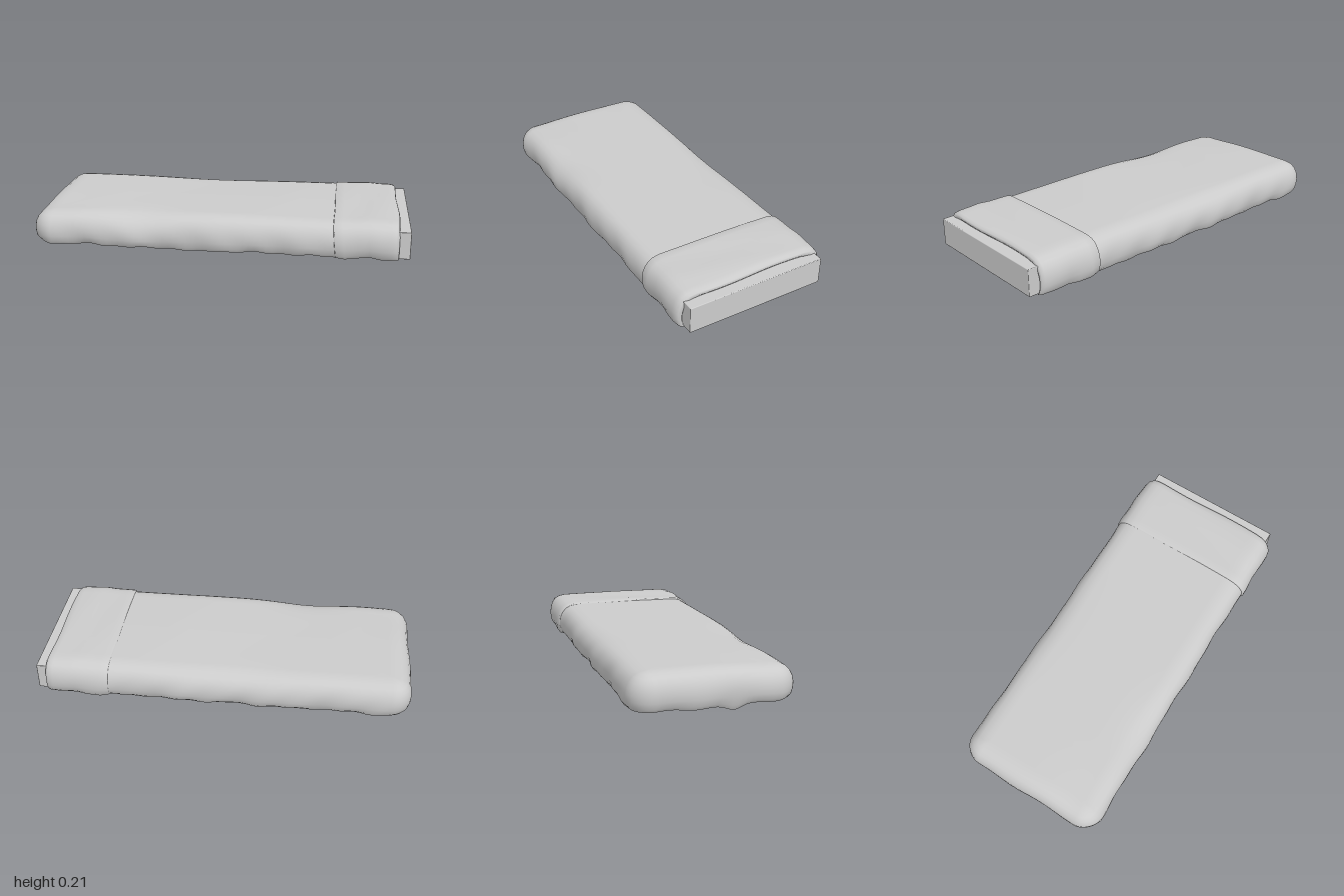
import * as THREE from 'three';
import { RoundedBoxGeometry } from 'three/addons/geometries/RoundedBoxGeometry.js';

const cloth = new THREE.MeshStandardMaterial({ color: 0xcccccc, side: THREE.DoubleSide });
const solid = new THREE.MeshStandardMaterial({ color: 0xcccccc });

// Edge profile of the draped cloth: [distance in from the outline, height]
const EDGE = [[0.022, 0.022], [0.008, 0.04], [0.001, 0.07], [0, 0.1], [0.005, 0.13],
  [0.017, 0.157], [0.035, 0.178], [0.06, 0.192], [0.095, 0.199]];
const TOP_STEPS = 12;
const bump = (v, centre, width) => Math.exp(-(((v - centre) / width) ** 2));

// Soft folds, hanging rim and sagging edge
function soften(p) {
  const { x, y, z } = p;
  const low = THREE.MathUtils.clamp((0.19 - y) / 0.15, 0, 1);
  const rim = THREE.MathUtils.clamp((0.08 - y) / 0.06, 0, 1);
  p.z += Math.sign(z) * low * (0.005 * Math.sin(x * 13 + z * 2) + 0.003 * Math.sin(x * 29 + y * 20));
  p.x += x < -0.9 ? low * 0.005 * Math.sin(z * 17) : 0;
  p.y += rim * (0.004 * Math.sin(x * 21 + z * 9) + 0.003 * Math.sin(x * 43 + z * 31));
  p.y -= rim * (0.013 * bump(x, -0.1, 0.07) * (z > 0 ? 1 : 0.3)
    + (x < -0.85 ? 0.02 * bump(z, 0.08, 0.045) : 0));
  p.y -= (y / 0.2) * (0.03 * bump(x, -0.42, 0.2) * bump(z, 0.42, 0.11)
    + 0.014 * bump(x, -0.95, 0.2) * bump(z, 0.3, 0.18)
    + 0.012 * bump(x, -0.1, 0.25) * bump(z, -0.42, 0.08));
  p.y += (y / 0.2) * 0.002 * Math.sin(x * 5 + z * 4);
  return p;
}

// Smooth surface from a grid of points
function sheet(name, rows) {
  const n = rows[0].length, pos = [], idx = [];
  rows.forEach((row) => row.forEach((p) => pos.push(p.x, p.y, p.z)));
  for (let i = 0; i < rows.length - 1; i++) {
    for (let j = 0; j < n - 1; j++) {
      const a = i * n + j, b = a + 1, c = a + n, d = c + 1;
      idx.push(a, c, b, b, c, d);
    }
  }
  const geo = new THREE.BufferGeometry();
  geo.setAttribute('position', new THREE.Float32BufferAttribute(pos, 3));
  geo.setIndex(idx);
  geo.computeVertexNormals();
  const mesh = new THREE.Mesh(geo, cloth);
  mesh.name = name;
  return mesh;
}

// U-shaped outline, open at the head: position and inward normal
function outline() {
  const x0 = -0.99, z0 = -0.42, z1 = 0.402, r = 0.11, head = 0.93, pts = [];
  const add = (x, z, nx, nz) => pts.push({ x, z, nx, nz });
  for (let i = 0; i < 60; i++) add(THREE.MathUtils.lerp(head, x0 + r, i / 60), z1, 0, -1);
  for (let i = 0; i < 10; i++) {
    const a = (i / 10) * Math.PI / 2, s = Math.sin(a), c = Math.cos(a);
    add(x0 + r - r * s, z1 - r + r * c, s, -c);
  }
  for (let i = 0; i < 24; i++) add(x0, THREE.MathUtils.lerp(z1 - r, z0 + r, i / 24), 1, 0);
  for (let i = 0; i < 10; i++) {
    const a = (i / 10) * Math.PI / 2, s = Math.sin(a), c = Math.cos(a);
    add(x0 + r - r * c, z0 + r - r * s, c, s);
  }
  for (let i = 0; i <= 60; i++) add(THREE.MathUtils.lerp(x0 + r, head, i / 60), z0, 0, 1);
  return pts;
}

function makeBlanket() {
  const rows = outline().map((o) => {
    const row = EDGE.map(([d, y]) => new THREE.Vector3(o.x + o.nx * d, y, o.z + o.nz * d));
    const edge = row[row.length - 1];
    const spine = new THREE.Vector3(Math.max(edge.x, -0.55), 0.203, -0.01);
    for (let k = 1; k <= TOP_STEPS; k++) row.push(edge.clone().lerp(spine, k / TOP_STEPS));
    return row.map(soften);
  });
  return sheet('blanket', rows);
}

// Folded-back band over the head end, with a lip rolled in towards the mattress
function makeFold() {
  const stations = [[0, -0.006], [0.004, 0.006], [0.05, 0.008], [0.12, 0.007], [0.18, 0.01], [0.24, 0.009],
    [0.29, 0.008], [0.315, 0.004], [0.328, -0.005], [0.332, -0.016], [0.325, -0.028], [0.29, -0.03]];
  const rows = stations.map(([dx, grow]) => {
    const half = (side) => EDGE.map(([d, y]) => {
      const z = (side > 0 ? 0.405 : -0.42) - side * (d - grow);
      const start = 0.605 + (side > 0 ? 0.02 * (1 - y / 0.2) : 0);
      return new THREE.Vector3(start + dx * (0.94 - start) / 0.326, y + grow * (y / 0.2), z);
    });
    const a = half(1), b = half(-1).reverse(), mid = [];
    for (let k = 1; k < 16; k++) {
      const p = a[a.length - 1].clone().lerp(b[0], k / 16);
      p.y += 0.003 * Math.sin(Math.PI * k / 16);
      mid.push(p);
    }
    return [...a, ...mid, ...b].map((p) => {
      soften(p);
      p.x += 0.004 * Math.sin(p.z * 11) * (dx > 0.2 ? 1 : 0.4);
      p.y += 0.002 * Math.sin(dx * 30 + p.z * 8);
      return p;
    });
  });
  return sheet('blanketFold', rows.reverse());
}

export function createModel() {
  const group = new THREE.Group();
  group.name = 'coveredMattress';

  // Mattress end showing past the cloth
  const mattress = new THREE.Mesh(new RoundedBoxGeometry(0.2, 0.145, 0.755, 2, 0.004), solid);
  mattress.name = 'mattressEnd';
  mattress.position.set(0.9, 0.0975, -0.005);

  group.add(mattress, makeBlanket(), makeFold());
  return group;
}
